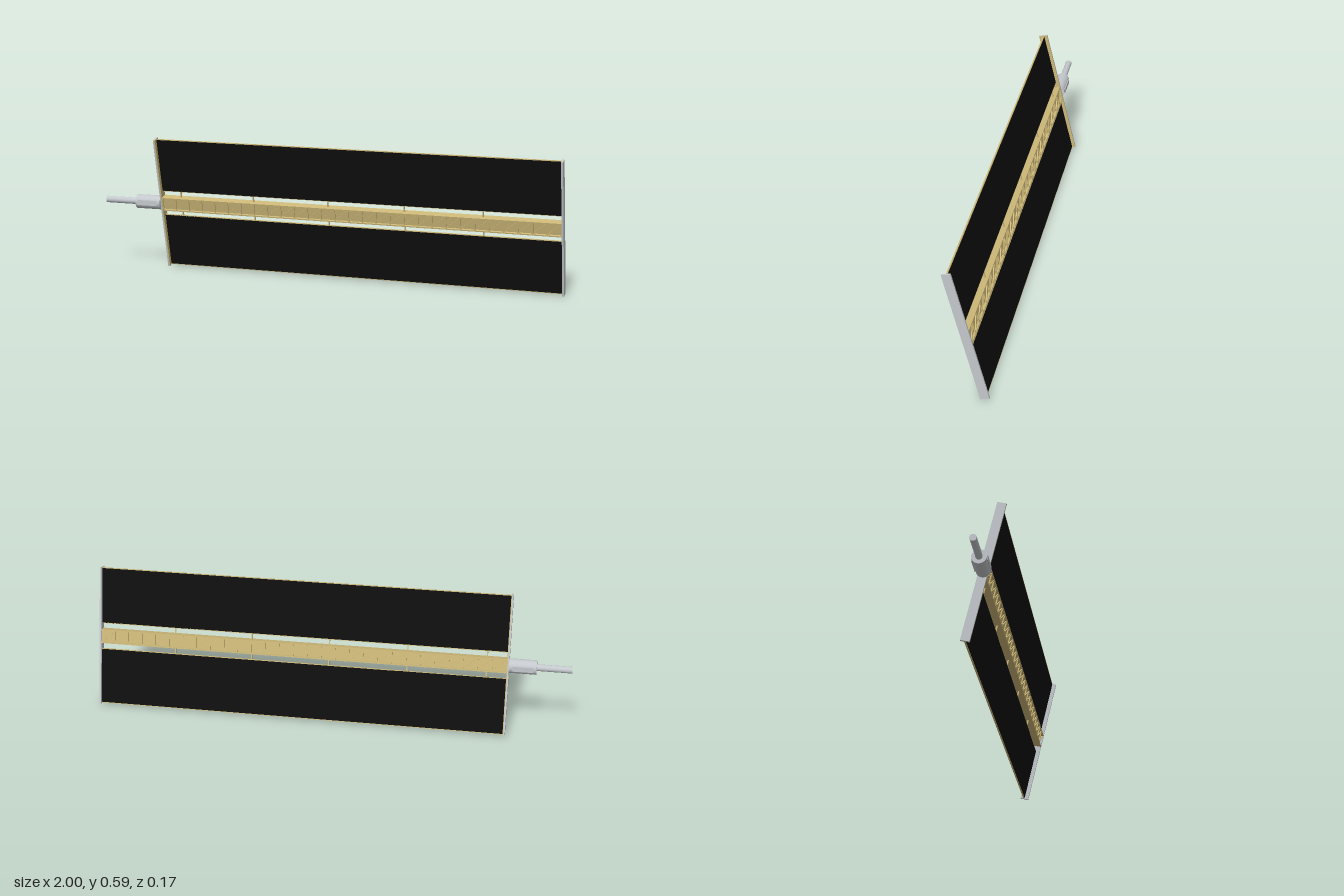
import * as THREE from 'three';

const material = (color) => new THREE.MeshStandardMaterial({ color });

export function createModel() {
  const grey = material(0xc4c8cc), black = material(0x0e0e0e), tan = material(0xcdb878);
  const model = new THREE.Group();
  model.name = 'solarWing';

  const box = (parent, name, mat, size, pos, rotZ = 0) => {
    const mesh = new THREE.Mesh(new THREE.BoxGeometry(...size), mat);
    mesh.name = name;
    mesh.position.set(...pos);
    mesh.rotation.z = rotZ;
    parent.add(mesh);
    return mesh;
  };

  // Everything between the end plates leans forward at the top
  const wing = new THREE.Group();
  wing.name = 'wing';
  wing.position.y = 0.294;
  wing.rotation.x = 0.234;
  model.add(wing);

  const x0 = -0.733, x1 = 0.992, length = x1 - x0, mid = (x0 + x1) / 2;

  // End plates, the inboard one with a tan inner lining
  box(wing, 'inboardPlate', grey, [0.006, 0.595, 0.037], [-0.739, 0, 0]);
  box(wing, 'inboardLining', tan, [0.003, 0.595, 0.037], [-0.7345, 0, 0]);
  box(wing, 'outboardPlate', grey, [0.008, 0.595, 0.037], [0.996, 0, 0]);

  // Cell blankets with tan edge strips, mirrored above and below the mast
  for (const s of [1, -1]) {
    box(wing, 'cellBlanket', black, [length, 0.236, 0.006], [mid, s * 0.175, -0.002]);
    for (const y of [0.0565, 0.2945])
      box(wing, 'blanketEdge', tan, [length, 0.003, 0.006], [mid, s * y, -0.002]);
    // Brackets from the mast to the blanket
    for (let i = 0; i < 5; i++)
      box(wing, 'bracket', tan, [0.005, 0.03, 0.006], [-0.65 + i * 0.33, s * 0.043, -0.002]);
  }

  // Mast: flanges and a central web
  const mast = new THREE.Group();
  mast.name = 'mast';
  wing.add(mast);
  const half = 0.03, depth = 0.018, bays = 29, pitch = length / bays;
  for (const s of [1, -1])
    box(mast, 'mastFlange', tan, [length, 0.005, depth * 2], [mid, s * (half - 0.0025), 0]);
  box(mast, 'mastWeb', tan, [length, half * 2 - 0.01, 0.016], [mid, 0, 0]);

  // Lattice of posts and diagonals on the front and back faces
  const clear = half * 2 - 0.01;
  const diagonal = Math.hypot(pitch, clear) - 0.003;
  const angle = Math.atan2(clear, pitch);
  for (const s of [1, -1]) {
    const z = s * (depth - 0.003);
    for (let i = 0; i < bays; i++) {
      const x = x0 + i * pitch;
      box(mast, 'latticePost', tan, [0.004, clear, 0.005], [x + 0.002, 0, z]);
      box(mast, 'latticeDiagonal', tan, [diagonal, 0.004, 0.004], [x + pitch / 2, 0, z], s * angle);
    }
  }

  // Drive hub and stub shaft, turned about x
  const drive = new THREE.Group();
  drive.name = 'drive';
  drive.position.y = 0.294;
  model.add(drive);
  const turned = (name, radius, from, to) => {
    const mesh = new THREE.Mesh(new THREE.CylinderGeometry(radius, radius, to - from, 32), grey);
    mesh.name = name;
    mesh.rotation.z = Math.PI / 2;
    mesh.position.x = (from + to) / 2;
    drive.add(mesh);
  };
  turned('driveHub', 0.03, -0.855, -0.742);
  turned('stubShaft', 0.014, -1, -0.854);
  for (const s of [1, -1])
    box(drive, 'hubPad', grey, [0.088, 0.022, 0.006], [-0.8, 0, s * 0.0285]);

  return model;
}
